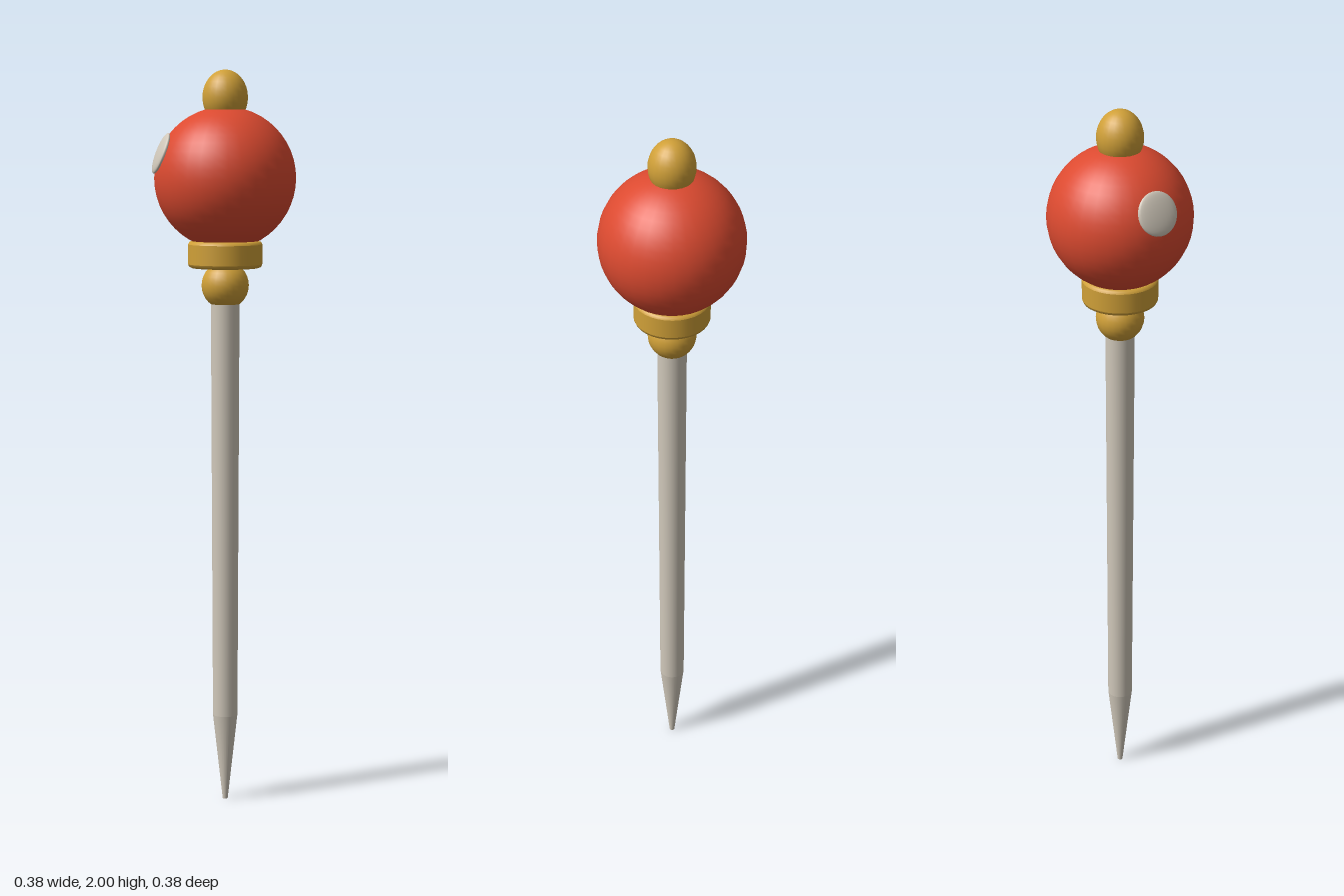
import * as THREE from 'three';

const paint = (name, color) => {
  const m = new THREE.MeshStandardMaterial({ color });
  m.name = name;
  return m;
};

export function createModel() {
  const red = paint('red', 0xdc4a30);
  const gold = paint('gold', 0xd0a038);
  const pale = paint('pale steel', 0xd0c8ba);
  const group = new THREE.Group();

  const add = (name, geometry, material, y = 0) => {
    const mesh = new THREE.Mesh(geometry, material);
    mesh.name = name;
    mesh.position.y = y;
    group.add(mesh);
    return mesh;
  };
  const lathe = (points, segments) =>
    new THREE.LatheGeometry(points.map(([r, y]) => new THREE.Vector2(r, y)), segments);

  // Slightly tapered shaft with a blunt pointed tip
  add('shaft', new THREE.CylinderGeometry(0.039, 0.034, 1.18, 24), pale, 0.83);
  add('tip', new THREE.CylinderGeometry(0.034, 0.007, 0.24, 24), pale, 0.12);

  // Bead and collar under the head
  add('bead', new THREE.SphereGeometry(0.064, 24, 16), gold, 1.427);
  add('collar', lathe([
    [0, 1.474], [0.09, 1.474], [0.09, 1.474], [0.097, 1.477], [0.1, 1.484],
    [0.1, 1.484], [0.1, 1.537], [0.1, 1.537], [0.097, 1.543], [0.09, 1.546], [0, 1.546],
  ], 32), gold);

  // Round head with a tall knob on top
  add('head', new THREE.SphereGeometry(0.19, 32, 24), red, 1.713);
  add('knob', new THREE.SphereGeometry(0.061, 24, 16), gold, 1.927).scale.y = 1.2;

  // Flattened pale spot lying on the head's surface
  const normal = new THREE.Vector3(-0.4, 0.36, 0.845).normalize();
  const spot = add('spot', new THREE.SphereGeometry(0.057, 24, 16), pale);
  spot.scale.z = 0.2;
  spot.quaternion.setFromUnitVectors(new THREE.Vector3(0, 0, 1), normal);
  spot.position.set(0, 1.713, 0).addScaledVector(normal, 0.186);

  return group;
}
